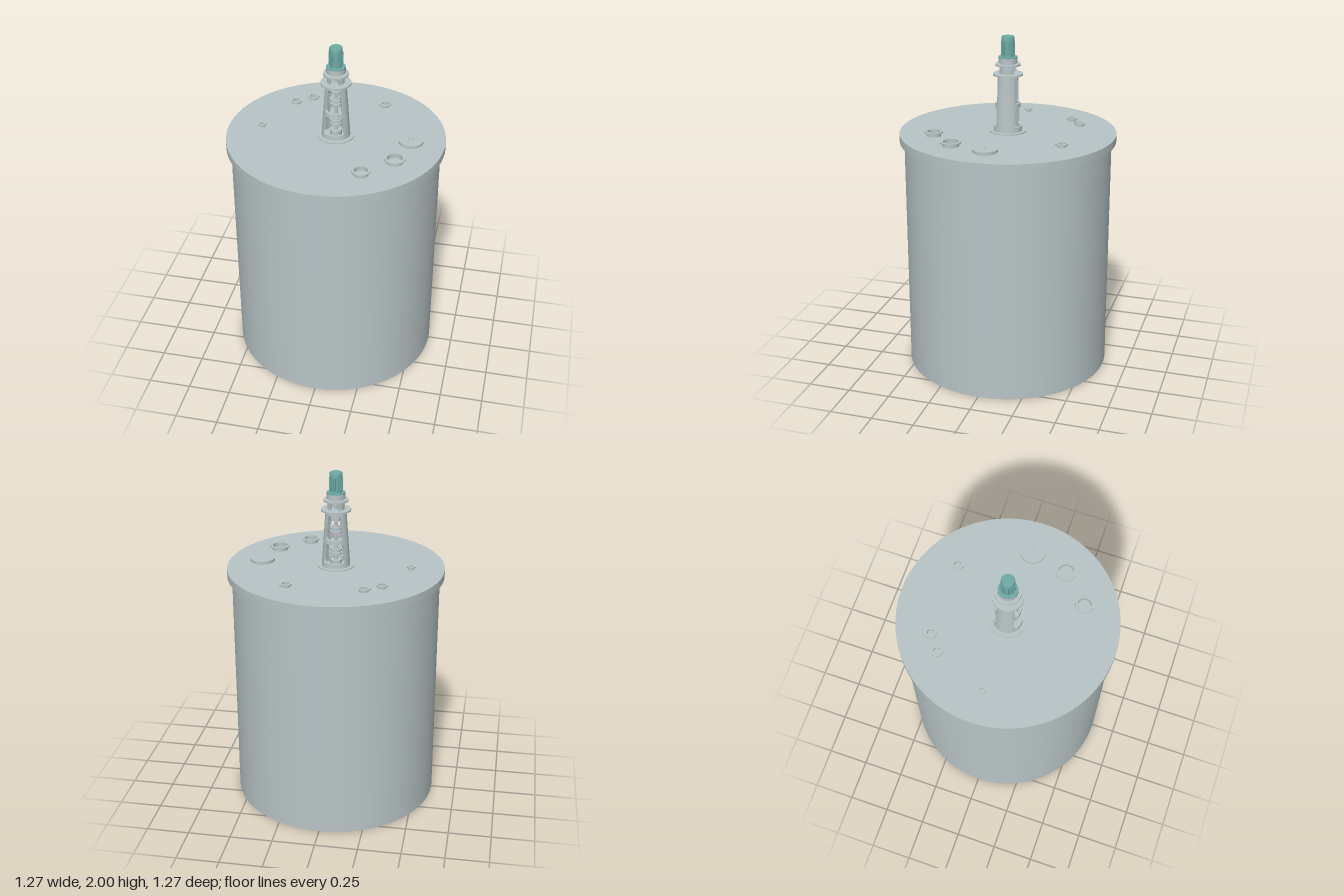
import * as THREE from 'three';
import { toCreasedNormals } from 'three/addons/utils/BufferGeometryUtils.js';

const material = (name, color) => {
  const m = new THREE.MeshStandardMaterial({ color });
  m.name = name;
  return m;
};

export function createModel() {
  const steel = material('greySteel', 0xb8c4c6);
  const teal = material('tealPaint', 0x6faba6);
  const model = new THREE.Group();
  model.name = 'mixingTank';

  const add = (name, geometry, mat = steel, parent = model) => {
    const mesh = new THREE.Mesh(geometry, mat);
    mesh.name = name;
    parent.add(mesh);
    return mesh;
  };
  const group = (name) => {
    const g = new THREE.Group();
    g.name = name;
    model.add(g);
    return g;
  };
  // Upright disc or cylinder between two heights
  const disc = (name, r, y0, y1, mat = steel, parent = model, sides = 48) => {
    const mesh = add(name, new THREE.CylinderGeometry(r, r, y1 - y0, sides), mat, parent);
    mesh.position.y = (y0 + y1) / 2;
    return mesh;
  };
  // Crisp-edged lathe from [radius, height] pairs
  const lathe = (points, sides = 48) => toCreasedNormals(
    new THREE.LatheGeometry(points.map(([r, y]) => new THREE.Vector2(r, y)), sides), 0.6);

  // Vessel and lid
  disc('tankBody', 0.606, 0, 1.395, steel, model, 96);
  disc('tankLid', 0.633, 1.393, 1.44, steel, model, 96);

  // Pipe stubs: x, z, flange radius, bore radius, top height
  const nozzles = [
    [-0.22, -0.38, 0.034, 0.02, 1.46],
    [-0.31, -0.31, 0.034, 0.02, 1.46],
    [0.22, -0.38, 0.034, 0.02, 1.46],
    [-0.44, 0, 0.024, 0.012, 1.46],
    [0.38, 0.22, 0.06, 0.044, 1.467],
    [0.22, 0.38, 0.053, 0.038, 1.467],
  ];
  for (const [x, z, flange, bore, top] of nozzles) {
    const neck = bore + 0.004;
    const n = add('nozzle', lathe([
      [bore, 1.438], [neck, 1.438], [neck, top - 0.008], [flange, top - 0.008],
      [flange, top], [bore, top], [bore, 1.438],
    ]));
    n.position.set(x, 0, z);
  }

  // Manhole with lift handle
  const manhole = group('manhole');
  manhole.position.x = 0.437;
  disc('manholeNeck', 0.066, 1.438, 1.448, steel, manhole);
  disc('manholeCover', 0.072, 1.446, 1.461, steel, manhole);
  const handlePath = new THREE.CatmullRomCurve3([
    [-0.015, 1.459], [-0.014, 1.468], [0, 1.469], [0.014, 1.468], [0.015, 1.459],
  ].map(([x, y]) => new THREE.Vector3(x, y, 0)));
  add('manholeHandle', new THREE.TubeGeometry(handlePath, 16, 0.002, 8), steel, manhole);

  // One curved wall between two windows; halfWidth is its reach in z
  const wallGeometry = (y0, y1, radiusAt, thickness, halfWidth, corner) => {
    const rows = 24, arc = 14, ring = 2 * (arc + 1);
    const positions = [], index = [];
    for (let i = 0; i <= rows; i++) {
      const y = y0 + (y1 - y0) * (0.5 - 0.5 * Math.cos(Math.PI * i / rows));
      const r = radiusAt(y);
      // Round the window corners by widening the wall near its ends
      const d = Math.max(0, corner - Math.min(y - y0, y1 - y));
      const fillet = (corner - Math.sqrt(Math.max(0, corner * corner - d * d))) / r;
      const a = Math.min(Math.asin(halfWidth / r) + fillet, Math.PI / 2);
      for (let j = 0; j < ring; j++) {
        const outer = j <= arc;
        const t = outer ? j / arc : (ring - 1 - j) / arc;
        const angle = a * (2 * t - 1);
        const rr = outer ? r : r - thickness;
        positions.push(rr * Math.cos(angle), y, rr * Math.sin(angle));
      }
    }
    for (let i = 0; i < rows; i++) {
      for (let j = 0; j < ring; j++) {
        const k = (j + 1) % ring;
        const a = i * ring + j, b = i * ring + k, c = a + ring, d = b + ring;
        index.push(a, c, b, b, c, d);
      }
    }
    const g = new THREE.BufferGeometry();
    g.setAttribute('position', new THREE.Float32BufferAttribute(positions, 3));
    g.setIndex(index);
    return toCreasedNormals(g, 0.6);
  };

  // Tapered drive stand, open to the front and back
  const stand = group('driveStand');
  const coneRadius = (y) => 0.083 - (y - 1.445) * 0.07;
  const band = (y0, y1) => {
    const a = coneRadius(y0), b = coneRadius(y1), t = 0.013;
    add('standBand', lathe([
      [a - t, y0], [a, y0], [b, y1], [b - t, y1], [a - t, y0],
    ]), steel, stand);
  };
  const walls = (y0, y1, radiusAt, thickness, halfWidth, corner) => {
    for (const turn of [0, Math.PI]) {
      add('standWall', wallGeometry(y0, y1, radiusAt, thickness, halfWidth, corner), steel, stand)
        .rotation.y = turn;
    }
  };
  disc('standFoot', 0.108, 1.438, 1.447, steel, stand);
  band(1.445, 1.475);
  walls(1.475, 1.588, coneRadius, 0.013, 0.053, 0.018);
  band(1.588, 1.612);
  walls(1.612, 1.755, coneRadius, 0.013, 0.051, 0.018);
  band(1.755, 1.776);
  disc('standTopFlange', 0.087, 1.775, 1.785, steel, stand);

  // Short open adapter under the gearbox
  walls(1.785, 1.832, () => 0.049, 0.012, 0.042, 0.006);
  disc('adapterFlange', 0.072, 1.831, 1.842, steel, stand);

  // Agitator shaft and couplings
  const drive = group('agitatorDrive');
  disc('shaft', 0.012, 1.445, 1.835, steel, drive, 24);
  disc('shaftSeal', 0.034, 1.447, 1.48, steel, drive, 32);
  for (const [y, r] of [[1.53, 0.036], [1.66, 0.036], [1.735, 0.03]]) {
    disc('couplingHub', r * 0.65, y - 0.024, y + 0.024, steel, drive, 32);
    for (const s of [-1, 1]) {
      disc('couplingDisc', r, y + s * 0.011 - 0.007, y + s * 0.011 + 0.007, steel, drive, 32);
    }
  }

  // Gearbox and finned motor
  disc('gearbox', 0.047, 1.84, 1.875, steel, drive);
  disc('gearboxFlange', 0.055, 1.848, 1.877, steel, drive);
  disc('motorFlange', 0.054, 1.877, 1.884, teal, drive);
  disc('motorBody', 0.035, 1.883, 1.975, teal, drive, 32);
  add('motorCap', lathe([[0, 1.97], [0.037, 1.97], [0.037, 1.994], [0.034, 2], [0, 2]]), teal, drive);
  const fins = 20;
  for (let i = 0; i < fins; i++) {
    const a = (i / fins) * Math.PI * 2;
    const fin = add('motorFin', new THREE.BoxGeometry(0.008, 0.072, 0.004), teal, drive);
    fin.position.set(0.0365 * Math.cos(a), 1.932, 0.0365 * Math.sin(a));
    fin.rotation.y = -a;
  }
  return model;
}
